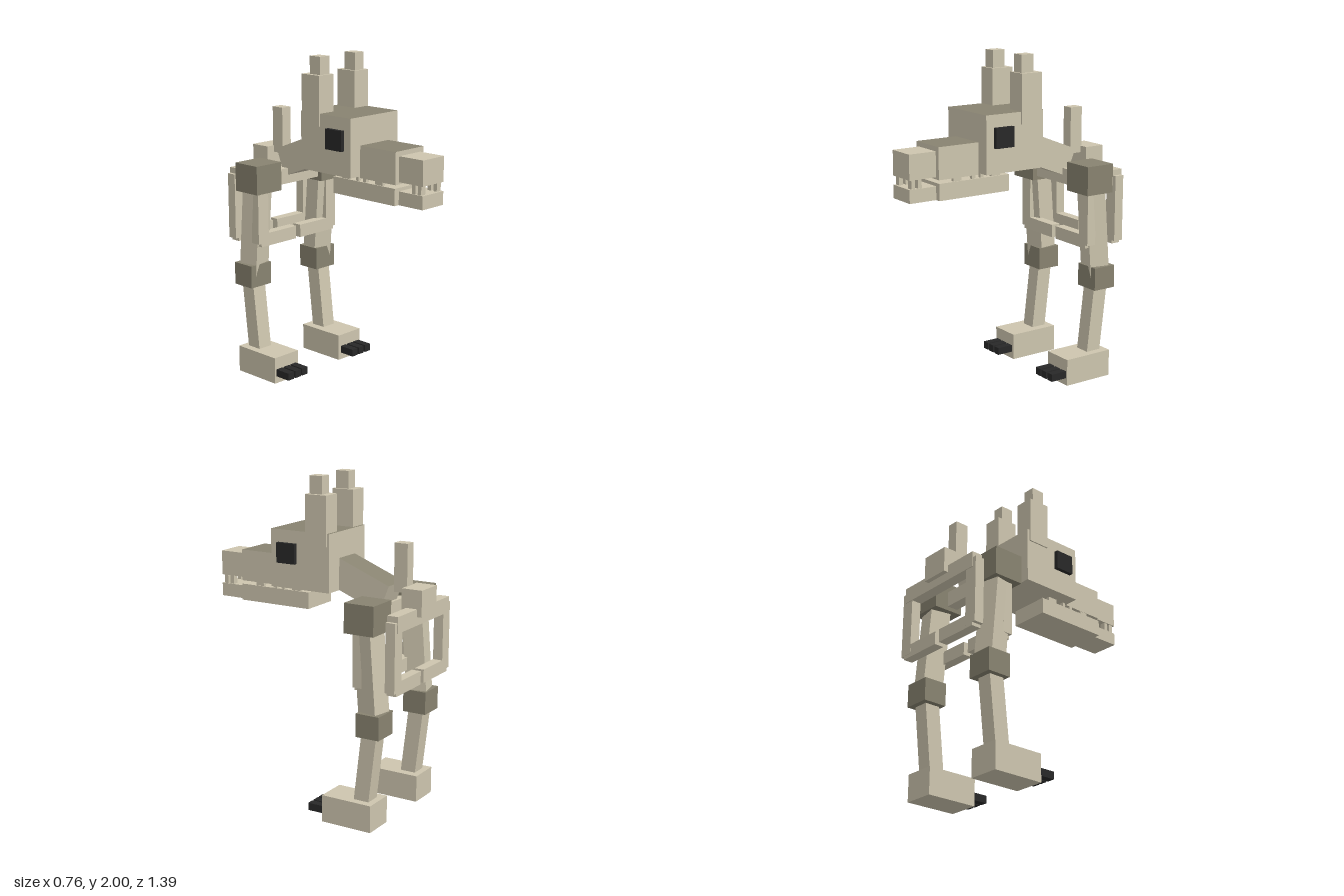
import * as THREE from 'three';

export function createModel() {
  const root = new THREE.Group();
  root.name = 'bipedBeast';

  const mat = (name, hex) => {
    const m = new THREE.MeshStandardMaterial({ color: hex });
    m.name = name;
    return m;
  };
  const bone = mat('bone', 0xcdc5ae);
  const hide = mat('darkHide', 0x888370);
  const black = mat('black', 0x282828);
  // bone box whose top face is dark hide
  const hideTop = [bone, bone, hide, bone, bone, bone];

  const group = (name) => {
    const g = new THREE.Group();
    g.name = name;
    root.add(g);
    return g;
  };
  // box given by its minimum and maximum on each axis
  const box = (parent, name, material, [x0, x1], [y0, y1], [z0, z1]) => {
    const m = new THREE.Mesh(new THREE.BoxGeometry(x1 - x0, y1 - y0, z1 - z0), material);
    m.name = name;
    m.position.set((x0 + x1) / 2, (y0 + y1) / 2, (z0 + z1) / 2);
    parent.add(m);
    return m;
  };
  // x range mirrored onto side s
  const side = (s, a, b) => (s > 0 ? [a, b] : [-b, -a]);

  // Head and jaws
  const head = group('head');
  box(head, 'skull', hideTop, [-0.2, 0.2], [1.33, 1.675], [-0.15, 0.25]);
  box(head, 'snout', hideTop, [-0.12, 0.12], [1.32, 1.51], [0.25, 0.52]);
  box(head, 'noseTip', bone, [-0.09, 0.09], [1.333, 1.482], [0.52, 0.695]);
  box(head, 'lowerJaw', bone, [-0.125, 0.125], [1.2, 1.3], [0.04, 0.52]);
  box(head, 'lowerJawTip', bone, [-0.09, 0.09], [1.2, 1.28], [0.52, 0.695]);

  for (const s of [1, -1]) {
    box(head, 'eye', black, side(s, 0.195, 0.225), [1.48, 1.6], [0.072, 0.198]);
    box(head, 'ear', bone, side(s, 0.09, 0.208), [1.6, 1.895], [-0.135, 0.007]);
    box(head, 'earTip', bone, side(s, 0.108, 0.183), [1.895, 2], [-0.092, -0.007]);
    // teeth along each side of the mouth
    for (const [z0, z1] of [[0.365, 0.42], [0.27, 0.295], [0.215, 0.235], [0.1, 0.16]])
      box(head, 'sideTooth', bone, side(s, 0.095, 0.118), [1.29, 1.34], [z0, z1]);
    for (const z of [0.612, 0.655])
      box(head, 'frontTooth', bone, side(s, 0.05, 0.085), [1.27, 1.34], [z, z + 0.025]);
  }

  // Neck sloping down from the skull to the spine
  const body = group('body');
  const neck = new THREE.Mesh(new THREE.BoxGeometry(0.175, 0.176, 0.42), hideTop);
  neck.name = 'neck';
  neck.rotation.x = -0.375;
  neck.position.set(0, 1.385, -0.253);
  body.add(neck);

  // Spine
  box(body, 'spineSpike', bone, [-0.035, 0.035], [1.35, 1.635], [-0.57, -0.485]);
  box(body, 'spineBlock', bone, [-0.09, 0.09], [1.235, 1.39], [-0.695, -0.565]);

  // Two open rib hoops
  for (const z of [-0.42, -0.63]) {
    const hoop = group('ribHoop');
    box(hoop, 'ribTop', bone, [-0.31, 0.31], [1.185, 1.28], [z - 0.036, z + 0.034]);
    for (const s of [1, -1]) {
      box(hoop, 'ribSide', bone, side(s, 0.25, 0.333), [0.84, 1.245], [z - 0.031, z + 0.03]);
      box(hoop, 'ribBottom', bone, side(s, 0.018, 0.31), [0.82, 0.9], [z - 0.03, z + 0.03]);
    }
  }

  // Legs
  for (const s of [1, -1]) {
    const leg = group(s > 0 ? 'leftLeg' : 'rightLeg');
    box(leg, 'hip', hide, side(s, 0.172, 0.372), [1.16, 1.335], [-0.545, -0.355]);

    // thigh twisted slightly outwards and leaning back
    const thigh = new THREE.Mesh(new THREE.BoxGeometry(0.125, 0.58, 0.125), bone);
    thigh.name = 'thigh';
    thigh.position.set(s * 0.275, 0.92, -0.48);
    thigh.rotation.set(0.08, -s * 0.19, 0);
    leg.add(thigh);

    box(leg, 'knee', hide, side(s, 0.2, 0.363), [0.56, 0.7], [-0.58, -0.43]);

    const shin = new THREE.Mesh(new THREE.BoxGeometry(0.097, 0.46, 0.097), bone);
    shin.name = 'shin';
    shin.position.set(s * 0.283, 0.365, -0.475);
    shin.rotation.x = -0.115;
    leg.add(shin);

    box(leg, 'foot', bone, side(s, 0.183, 0.378), [0, 0.165], [-0.54, -0.215]);
    for (const x of [0.225, 0.283, 0.342])
      box(leg, 'claw', black, side(s, x - 0.023, x + 0.023), [0.045, 0.09], [-0.22, -0.11]);
  }

  return root;
}
